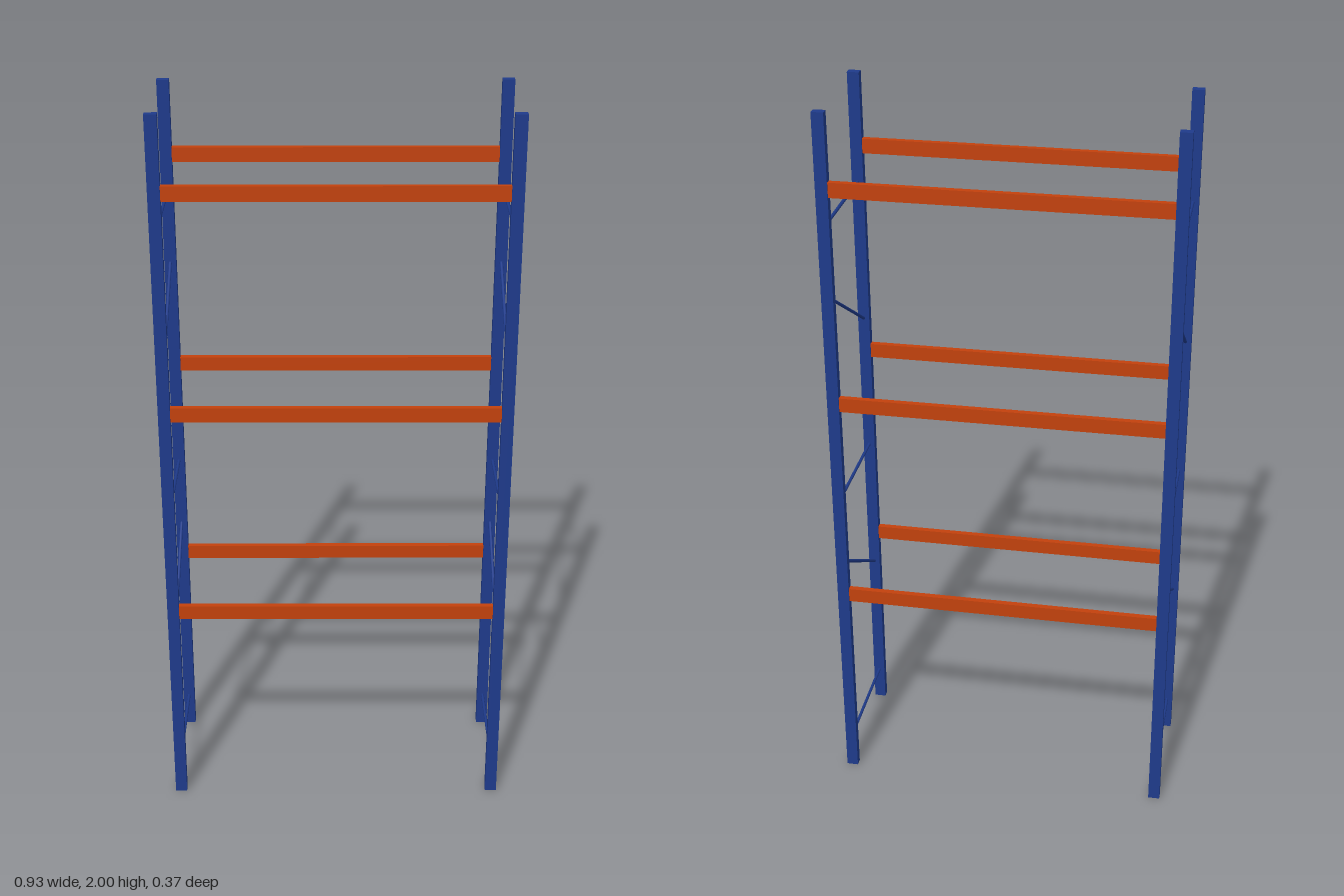
import * as THREE from 'three';

const POST_X = 0.45, POST_Z = 0.173, POST_W = 0.032, POST_D = 0.022;

export function createModel() {
  const blue = new THREE.MeshStandardMaterial({ color: 0x1e3a8a });
  blue.name = 'blue paint';
  const orange = new THREE.MeshStandardMaterial({ color: 0xc2410c });
  orange.name = 'orange paint';

  const model = new THREE.Group();
  model.name = 'palletRack';
  const add = (parent, name, geometry, material, x, y, z) => {
    const mesh = new THREE.Mesh(geometry, material);
    mesh.name = name;
    mesh.position.set(x, y, z);
    parent.add(mesh);
    return mesh;
  };

  const postGeometry = new THREE.BoxGeometry(POST_W, 2, POST_D);
  const beamGeometry = new THREE.BoxGeometry(2 * POST_X - POST_W, 0.04, 0.016);
  const span = 2 * POST_Z - POST_D;

  // Thin round rod between the posts, rising towards the back
  const addBrace = (frame, name, x, yFront, yBack) => {
    const rise = yBack - yFront;
    const geometry = new THREE.CylinderGeometry(0.0045, 0.0045, Math.hypot(span, rise), 8);
    const rod = add(frame, name, geometry, blue, x, (yFront + yBack) / 2, 0);
    rod.rotation.x = Math.atan2(-span, rise);
  };

  // Upright end frames: two posts, three level braces, two diagonals
  for (const side of [1, -1]) {
    const frame = new THREE.Group();
    frame.name = side > 0 ? 'leftFrame' : 'rightFrame';
    model.add(frame);
    const x = side * POST_X;
    add(frame, 'frontPost', postGeometry, blue, x, 1, POST_Z);
    add(frame, 'backPost', postGeometry, blue, x, 1, -POST_Z);
    for (const y of [0.1, 0.9, 1.7]) addBrace(frame, 'levelBrace', x, y, y);
    for (const y of [0.5, 1.3]) addBrace(frame, 'diagonalBrace', x, y, y + 0.2);
  }

  // Load beams joining the frames at each level
  for (const y of [0.6, 1.2, 1.8]) {
    add(model, 'frontBeam', beamGeometry, orange, 0, y, POST_Z);
    add(model, 'backBeam', beamGeometry, orange, 0, y, -POST_Z);
  }
  return model;
}
